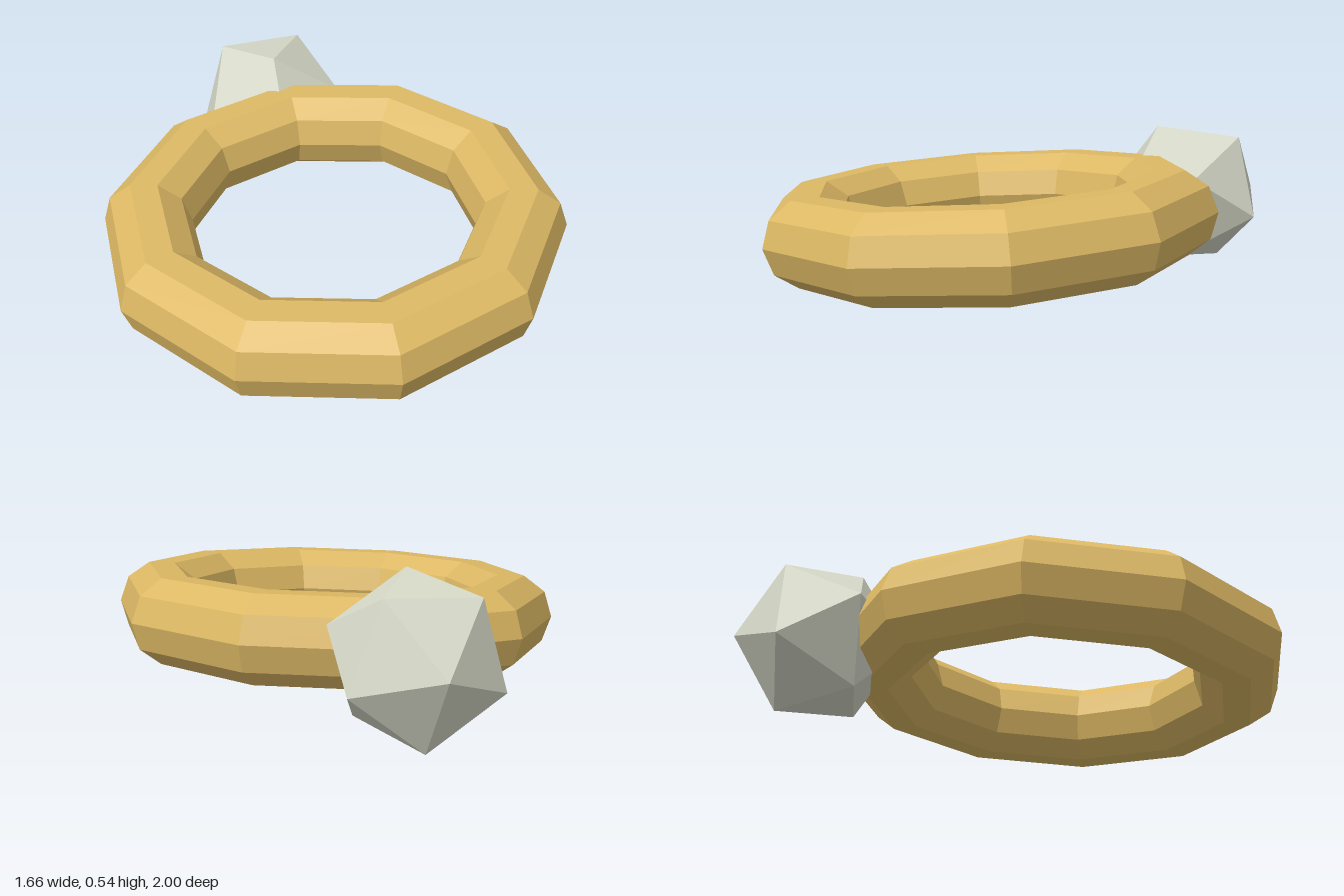
import * as THREE from 'three';

export function createModel() {
  const model = new THREE.Group();
  const material = (color) => new THREE.MeshStandardMaterial({ color, flatShading: true });

  // Ring: ten-sided band with a ten-sided section, lying almost flat
  const bandGeometry = new THREE.TorusGeometry(0.678, 0.163, 10, 10);
  bandGeometry.rotateZ(THREE.MathUtils.degToRad(-9));
  bandGeometry.rotateX(-Math.PI / 2);
  const band = new THREE.Mesh(bandGeometry, material(0xdcb864));
  band.name = 'ringBand';
  band.position.set(0, 0.25, 0.168);
  const tilt = new THREE.Vector3(-0.035, 1, 0.053).normalize();
  band.quaternion.setFromUnitVectors(new THREE.Vector3(0, 1, 0), tilt);
  model.add(band);

  // Gem: icosahedron turned so one of its edges runs along xAxis, facing yAxis
  const gem = new THREE.Mesh(new THREE.IcosahedronGeometry(0.306, 0), material(0xd6d9c8));
  gem.name = 'gemstone';
  gem.position.set(-0.177, 0.277, -0.702);
  const yAxis = new THREE.Vector3(0.266, 0.963, -0.029).normalize();
  const zAxis = new THREE.Vector3(-0.36, 0.134, 0.922).cross(yAxis).normalize();
  const xAxis = yAxis.clone().cross(zAxis);
  gem.quaternion.setFromRotationMatrix(new THREE.Matrix4().makeBasis(xAxis, yAxis, zAxis));
  model.add(gem);

  return model;
}
